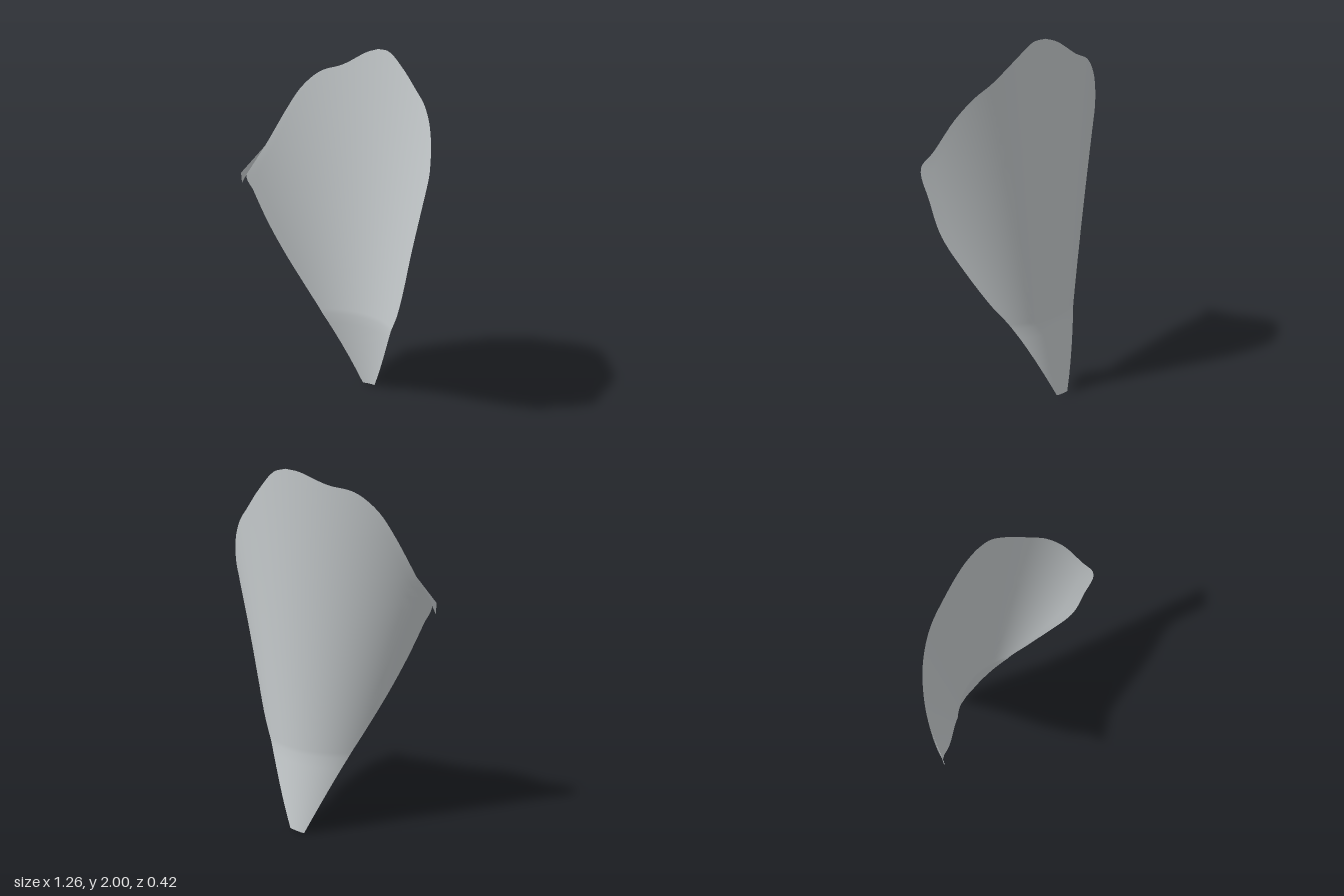
import * as THREE from 'three';

// Matching left and right outline points [x, y], from the base to the tip
const LEFT = [[-0.045, 0], [-0.25, 0.45], [-0.325, 0.6], [-0.42, 0.8], [-0.505, 1], [-0.58, 1.2], [-0.615, 1.3],
  [-0.56, 1.46], [-0.47, 1.67], [-0.39, 1.8], [-0.285, 1.885], [-0.15, 1.92], [0.01, 1.985], [0.09, 2]];
const RIGHT = [[0.045, 0.01], [0.255, 0.455], [0.345, 0.6], [0.445, 0.8], [0.53, 1], [0.585, 1.2], [0.627, 1.385],
  [0.6, 1.46], [0.535, 1.62], [0.46, 1.725], [0.38, 1.795], [0.27, 1.9], [0.165, 1.985], [0.09, 2]];

const outline = (pts) =>
  new THREE.CatmullRomCurve3(pts.map(([x, y]) => new THREE.Vector3(x, y, 0)), false, 'centripetal');

// Cone-like cupping: the radius grows with height, and the base bends back
function depth(x, y) {
  const radius = 0.28 + 0.25 * y + 0.06 * y * y + (x < 0 ? 0.03 * y : 0);
  const spine = -0.15 - 0.06 * Math.max(0, 1 - y / 0.45);
  return spine + radius - Math.sqrt(Math.max(0, radius * radius - x * x));
}

function sheet(positions, indices) {
  const g = new THREE.BufferGeometry();
  g.setAttribute('position', new THREE.Float32BufferAttribute(positions, 3));
  g.setIndex(indices);
  g.computeVertexNormals();
  return g;
}

// Rows of points running from the left outline to the right outline
function petalGeometry() {
  const left = outline(LEFT), right = outline(RIGHT);
  const rows = (LEFT.length - 1) * 6, cols = 32;
  const positions = [], indices = [];
  for (let i = 0; i <= rows; i++) {
    const a = left.getPoint(i / rows), b = right.getPoint(i / rows);
    for (let j = 0; j <= cols; j++) {
      const p = a.clone().lerp(b, j / cols);
      positions.push(p.x, p.y, depth(p.x, p.y));
      if (i < rows && j < cols) {
        const k = i * (cols + 1) + j, up = k + cols + 1;
        indices.push(k, k + 1, up + 1, k, up + 1, up);
      }
    }
  }
  return sheet(positions, indices);
}

// Small curled lip at the left corner
function lipGeometry() {
  const rim = (x, y) => [x, y, depth(x, y)];
  return sheet(
    [...rim(-0.615, 1.3), -0.63, 1.25, 0.2, -0.63, 1.31, 0.205, ...rim(-0.56, 1.46)],
    [0, 2, 1, 0, 3, 2]);
}

export function createModel() {
  const group = new THREE.Group();
  group.name = 'curvedPetal';
  const grey = new THREE.MeshStandardMaterial({ color: 0xc8cdcf, side: THREE.DoubleSide });
  grey.name = 'pale grey';

  const petal = new THREE.Mesh(petalGeometry(), grey);
  petal.name = 'petal';
  const lip = new THREE.Mesh(lipGeometry(), grey);
  lip.name = 'curledLip';
  group.add(petal, lip);
  return group;
}
